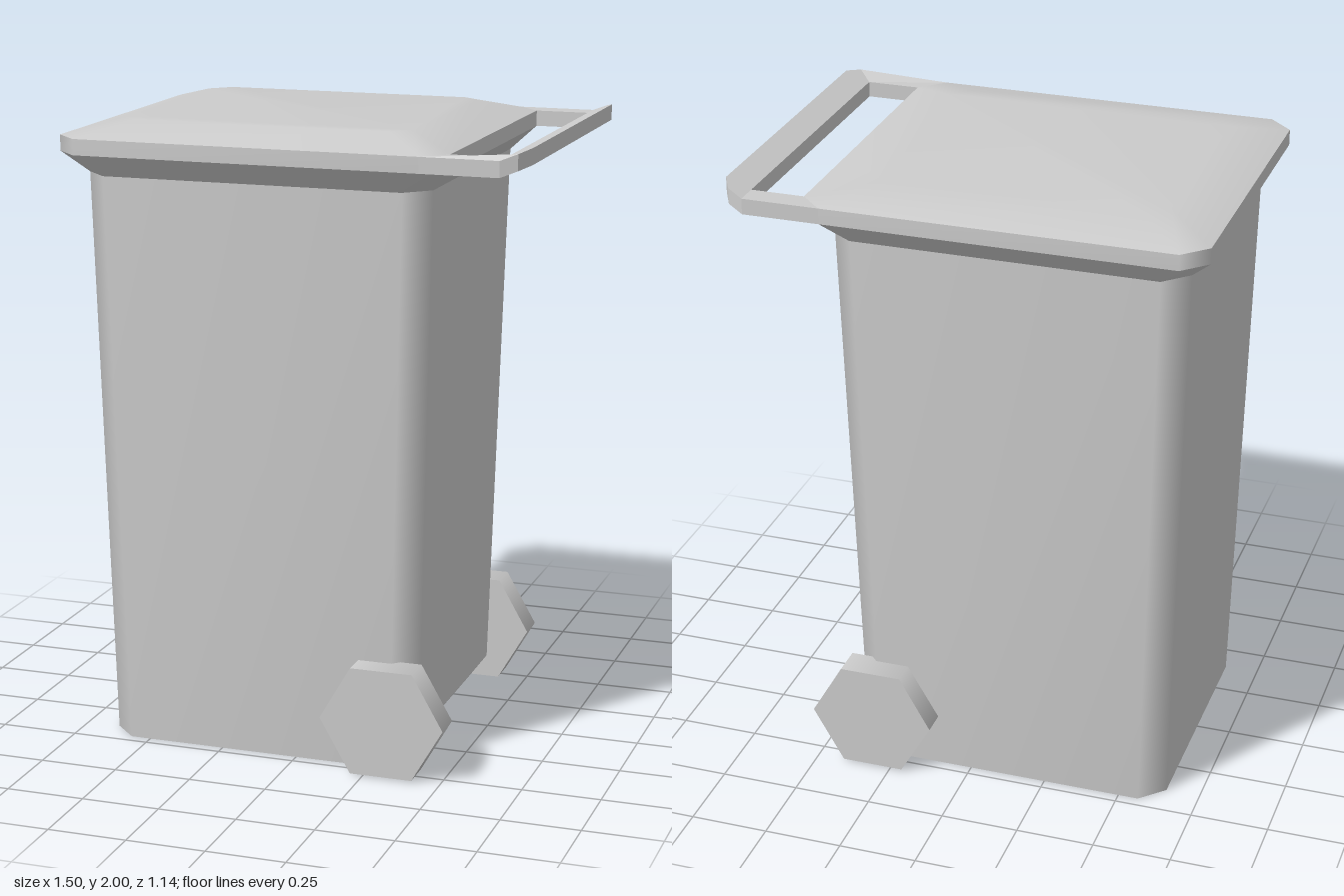
import * as THREE from 'three';

const grey = new THREE.MeshStandardMaterial({ color: 0xcccccc });

// Rectangle with cut corners, counter-clockwise seen from above
function ring(x0, x1, z, c, y) {
  return [
    [x1, z - c], [x1, c - z], [x1 - c, -z], [x0 + c, -z],
    [x0, c - z], [x0, z - c], [x0 + c, z], [x1 - c, z],
  ].map(([x, zz]) => [x, y, zz]);
}

// Smooth skin through rings from bottom to top, optionally closed on top
function loft(rings, capTop = false) {
  const n = rings[0].length, index = [];
  for (let r = 0; r < rings.length - 1; r++) {
    for (let i = 0; i < n; i++) {
      const a = r * n + i, b = r * n + (i + 1) % n;
      index.push(a, b, b + n, a, b + n, a + n);
    }
  }
  const top = (rings.length - 1) * n;
  if (capTop) for (let i = 1; i < n - 1; i++) index.push(top, top + i, top + i + 1);
  return surface(rings.flat(), index);
}

function surface(points, index) {
  const geo = new THREE.BufferGeometry();
  geo.setAttribute('position', new THREE.Float32BufferAttribute(points.flat(), 3));
  geo.setIndex(index);
  geo.computeVertexNormals();
  return geo;
}

export function createModel() {
  const group = new THREE.Group();
  const add = (name, geo) => {
    const mesh = new THREE.Mesh(geo, grey);
    mesh.name = name;
    group.add(mesh);
    return mesh;
  };

  // Tapered body; the wheel side is cut back at the foot
  const foot = ring(-0.64, 0.385, 0.465, 0.075, 0);
  foot[0][1] = foot[1][1] = 0.1;
  const bodyTop = ring(-0.68, 0.43, 0.507, 0.075, 1.835);
  add('body', loft([foot, bodyTop]));

  // Floor and the sloping undercut between the wheels
  add('floor', surface(foot.slice(2), [0, 2, 1, 0, 3, 2, 0, 4, 3, 0, 5, 4]));
  add('undercut', surface([foot[0], foot[1], foot[2], foot[7]], [0, 2, 1, 0, 3, 2]));

  // Flared collar, upright rim band and shallow lid
  const rimLow = ring(-0.75, 0.5, 0.57, 0.075, 1.905);
  const rimHigh = ring(-0.75, 0.5, 0.57, 0.075, 1.955);
  add('collar', loft([bodyTop, rimLow]));
  add('rim', loft([rimLow, rimHigh]));
  add('lid', loft([rimHigh, ring(-0.59, 0.34, 0.41, 0.06, 2)], true));

  // U-shaped handle whose grip bar tilts upward
  const half = [[0.425, 0.57], [0.67, 0.57], [0.72, 0.55], [0.75, 0.495]];
  const inner = [[0.67, 0.495], [0.5, 0.495]];
  const flip = (list) => list.map(([x, z]) => [x, -z]).reverse();
  const outline = [...half, ...flip(half), ...flip(inner), ...inner];
  const shape = new THREE.Shape(outline.map(([x, z]) => new THREE.Vector2(x, z)));
  const handle = new THREE.ExtrudeGeometry(shape, { depth: 0.05, bevelEnabled: false });
  handle.rotateX(-Math.PI / 2).translate(0, 1.905, 0);
  const pos = handle.attributes.position;
  for (let i = 0; i < pos.count; i++) {
    pos.setY(i, pos.getY(i) + Math.max(0, pos.getX(i) - 0.67) * 0.39);
  }
  handle.computeVertexNormals();
  add('handle', handle);

  // Six-sided wheels
  for (const side of [1, -1]) {
    const wheel = new THREE.CylinderGeometry(0.2, 0.2, 0.103, 6, 1, false, Math.PI / 2);
    wheel.rotateX(Math.PI / 2);
    add(side > 0 ? 'frontWheel' : 'backWheel', wheel).position.set(0.31, 0.178, side * 0.502);
  }
  return group;
}
